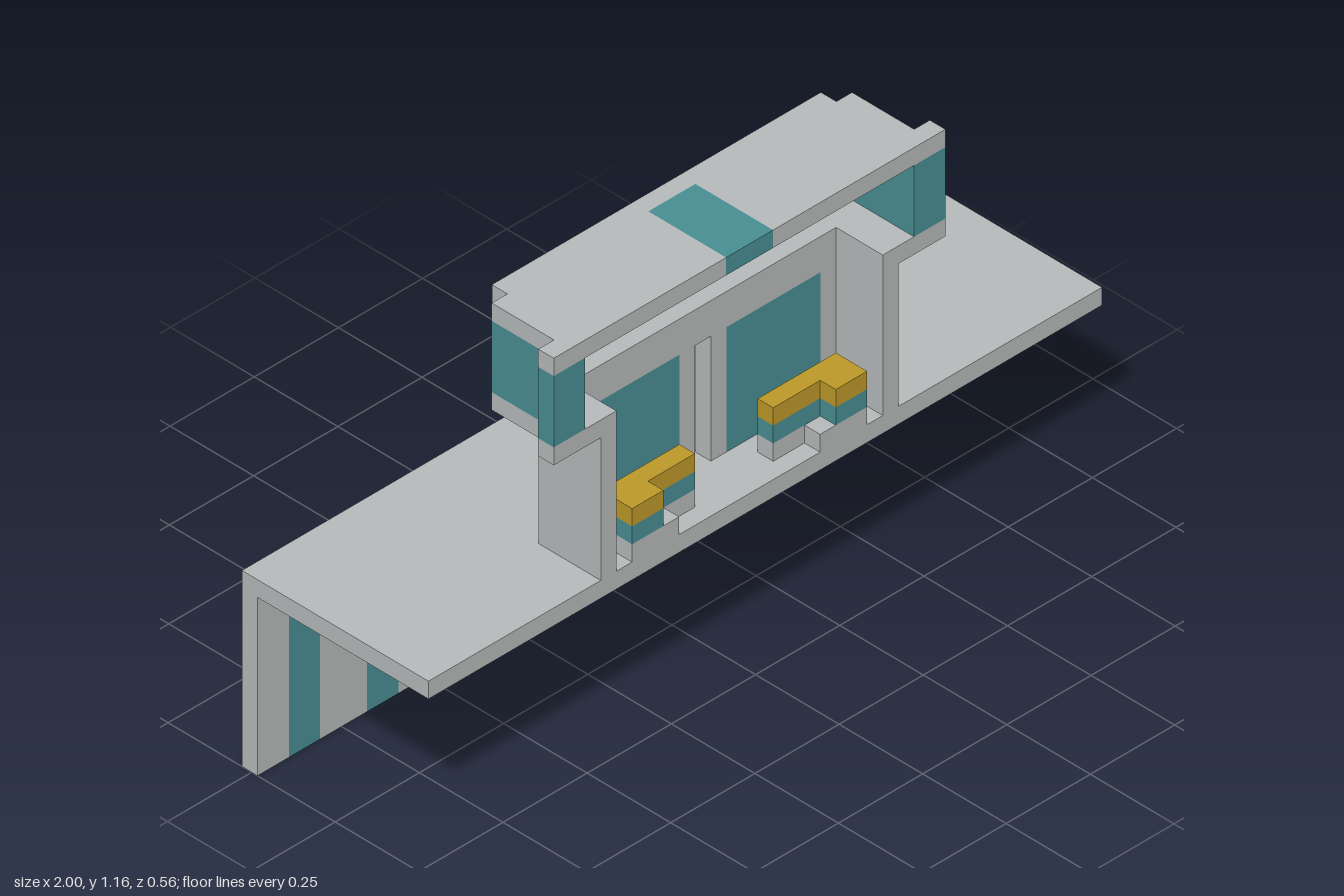
import * as THREE from 'three';

// Everything sits on a grid of 43 x 25 x 12 cells
const U = 2 / 43;

export function createModel() {
  const model = new THREE.Group();
  const mat = (name, color) => {
    const m = new THREE.MeshStandardMaterial({ color });
    m.name = name;
    return m;
  };
  const stone = mat('pale grey', 0xb9bdbd);
  const teal = mat('teal', 0x4a9095);
  const gold = mat('gold', 0xc09b2a);

  // Box between two grid corners
  const box = (name, material, x0, x1, y0, y1, z0, z1) => {
    const g = new THREE.BoxGeometry((x1 - x0) * U, (y1 - y0) * U, (z1 - z0) * U);
    const m = new THREE.Mesh(g, material);
    m.name = name;
    m.position.set(((x0 + x1) / 2 - 21.5) * U, ((y0 + y1) / 2) * U, ((z0 + z1) / 2 - 6) * U);
    model.add(m);
  };
  // Pair of boxes mirrored about the tower's middle (x = 20.5)
  const pair = (name, material, x0, x1, ...rest) => {
    box(name, material, x0, x1, ...rest);
    box(name, material, 41 - x1, 41 - x0, ...rest);
  };

  // Lower wall: teal strips set between grey piers
  const strips = [[2, 4], [7, 9], [10, 12], [13, 15], [16, 18], [19, 22],
    [23, 25], [26, 28], [29, 31], [32, 34], [37, 39], [41, 43]];
  let x = 0;
  for (const [a, b] of strips) {
    box('wallPier', stone, x, a, 0, 10, 0, 1);
    box('wallStrip', teal, a, b, 0, 10, 0, 1);
    x = b;
  }

  // Deck
  box('deck', stone, 0, 43, 10, 11, 0, 12);

  // Tower: side walls, and a back wall with teal panels and a central slot
  pair('towerSideWall', stone, 11, 12, 11, 19, 8, 12);
  pair('towerBackPier', stone, 12, 13, 11, 18, 8, 9);
  pair('towerPanel', teal, 13, 19, 11, 18, 8, 9);
  pair('slotJamb', stone, 19, 20, 11, 18, 8, 9);
  box('towerLintel', stone, 12, 29, 18, 19, 8, 9);

  // Corner benches: grey base, teal seat, gold top
  pair('benchBase', stone, 13, 16, 11, 12, 10, 12);
  pair('benchBase', stone, 16, 18, 11, 12, 10, 11);
  for (const [name, material, y] of [['benchSeat', teal, 12], ['benchTop', gold, 13]]) {
    pair(name, material, 13, 15, y, y + 1, 10, 12);
    pair(name, material, 15, 18, y, y + 1, 10, 11);
  }

  // Crown floor, open at the front above the tower
  box('crownFloor', stone, 10, 31, 19, 20, 6, 7);
  box('crownFloor', stone, 9, 32, 19, 20, 7, 9);
  pair('crownFloorSide', stone, 9, 12, 19, 20, 9, 11);
  pair('crownFloorSide', stone, 8, 12, 19, 20, 11, 12);

  // Crown walls, stepped outwards towards the front
  box('crownBackWall', teal, 10, 31, 20, 24, 6, 7);
  pair('crownCorner', teal, 9, 11, 20, 24, 7, 8);
  pair('crownSideWall', teal, 9, 10, 20, 24, 8, 11);
  pair('crownFrontEnd', teal, 8, 10, 20, 24, 11, 12);

  // Roof with a teal inlay
  box('roof', stone, 10, 31, 24, 25, 6, 7);
  pair('roof', stone, 9, 19, 24, 25, 7, 11);
  pair('roof', stone, 8, 19, 24, 25, 11, 12);
  box('roofInlay', teal, 19, 22, 24, 25, 7, 12);

  return model;
}
